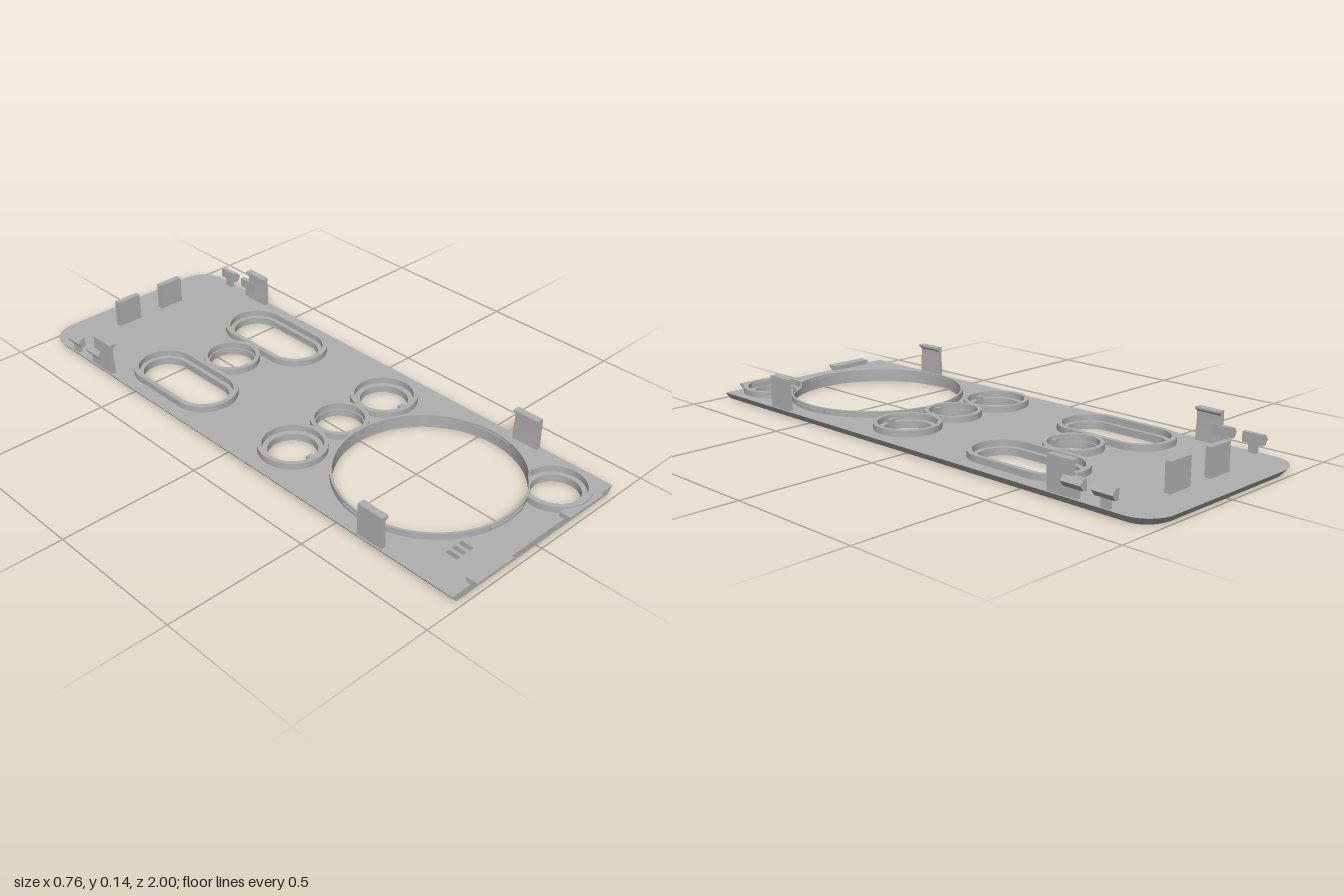
import * as THREE from 'three';
import { toCreasedNormals } from 'three/addons/utils/BufferGeometryUtils.js';

const grey = new THREE.MeshStandardMaterial({ color: 0xb0b0b0 });
grey.name = 'grey plastic';

const TOP = 0.025, RIM = 0.047, GROOVE = 0.004;
const BIG = { x: 0, z: 0.556, r: 0.307 };
const CORNER = { x: 0.2275, z: 0.873, r: 0.079 };
const TOWARD = Math.atan2(CORNER.z - BIG.z, CORNER.x - BIG.x);
const ROUND = [
  { x: -0.212, z: 0.153, r: 0.082, outer: 0.116 },
  { x: 0, z: 0.153, r: 0.08, outer: 0.099 },
  { x: 0.212, z: 0.153, r: 0.082, outer: 0.116 },
  { x: 0, z: -0.397, r: 0.08, outer: 0.1 },
];
const OVALS = [-0.212, 0.212].map((x) => ({ x, z: -0.397, half: 0.105 }));

// Plan shapes use (x, -z)
const circle = (c, r) => new THREE.Path().absarc(c.x, -c.z, r, 0, Math.PI * 2);
function oval(c, r, P = THREE.Path) {
  const p = new P();
  p.absarc(c.x, -c.z + c.half, r, 0, Math.PI);
  p.absarc(c.x, -c.z - c.half, r, Math.PI, Math.PI * 2);
  p.closePath();
  return p;
}
function rectHole(x, z, w, d) {
  return new THREE.Path([[-1, -1], [1, -1], [1, 1], [-1, 1]].map(
    ([i, j]) => new THREE.Vector2(x + i * w / 2, -z + j * d / 2)));
}

// Ring sector between two radii; angles run from +x toward +z
function sector(c, r0, r1, a0, a1) {
  const s = new THREE.Shape();
  s.absarc(c.x, -c.z, r1, -a0, -a1, true);
  s.absarc(c.x, -c.z, r0, -a1, -a0, false);
  s.closePath();
  return s;
}

// Extrude a plan shape upward from y0 to y1
function slab(shape, y0, y1) {
  const g = new THREE.ExtrudeGeometry(shape, { depth: y1 - y0, bevelEnabled: false, curveSegments: 40 });
  return g.rotateX(-Math.PI / 2).translate(0, y0, 0);
}

function add(parent, name, geometry) {
  const m = new THREE.Mesh(toCreasedNormals(geometry, 0.5), grey);
  m.name = name;
  parent.add(m);
  return m;
}

function box(parent, name, w, h, d, x, y, z) {
  return add(parent, name, new THREE.BoxGeometry(w, h, d).translate(x, y, z));
}

// Extrude an (x, y) profile along z, mirrored by side
function alongZ(parent, name, pts, side, z0, z1) {
  const s = new THREE.Shape(pts.map(([x, y]) => new THREE.Vector2(x * side, y)));
  add(parent, name, new THREE.ExtrudeGeometry(s, { depth: z1 - z0, bevelEnabled: false }).translate(0, 0, z0));
}

// Outline of a narrow band following a path
function band(path, half) {
  const left = [], right = [], n = 110;
  for (let i = 0; i <= n; i++) {
    const p = path.getPointAt(i / n), t = path.getTangentAt(i / n);
    left.push(new THREE.Vector2(p.x - t.y * half, p.y + t.x * half));
    right.unshift(new THREE.Vector2(p.x + t.y * half, p.y - t.x * half));
  }
  return new THREE.Path([...left, ...right]);
}

function grooves() {
  // Rounded frame around the oval openings
  const a = new THREE.Path(), w = 0.338, t = 0.635, b = 0.16, r = 0.12;
  a.moveTo(0.002, t);
  a.absarc(w - r, t - r, r, Math.PI / 2, 0, true);
  a.absarc(w - r, b + r, r, 0, -Math.PI / 2, true);
  a.absarc(-w + r, b + r, r, -Math.PI / 2, -Math.PI, true);
  a.absarc(-w + r, t - r, r, Math.PI, Math.PI / 2, true);
  a.lineTo(-0.002, t);
  // Outline of the round openings and the large opening
  const c = new THREE.Path(), R = 0.335, top = -0.025;
  c.absarc(0, -BIG.z, R, -TOWARD - 0.25, -Math.PI, true);
  c.absarc(-R + r, top - r, r, Math.PI, Math.PI / 2, true);
  c.absarc(R - r, top - r, r, Math.PI / 2, 0, true);
  c.absarc(0, -BIG.z, R, 0, -TOWARD + 0.25, true);
  return [band(a, 0.004), band(c, 0.004)];
}

function plateShape() {
  const s = new THREE.Shape(), w = 0.375, r = 0.1;
  s.moveTo(-w, -0.978);
  s.lineTo(w, -0.978);
  s.absarc(w - r, 1 - r, r, 0, Math.PI / 2);
  s.absarc(-w + r, 1 - r, r, Math.PI / 2, Math.PI);
  s.closePath();
  for (const c of [BIG, CORNER, ...ROUND]) s.holes.push(circle(c, c.r));
  for (const o of OVALS) s.holes.push(oval(o, 0.082));
  for (const x of [-0.235, -0.206, -0.177]) s.holes.push(rectHole(x, 0.857, 0.016, 0.045));
  return s;
}

// Lower edges lean inward at the sides and back
function chamfer(g) {
  const p = g.attributes.position;
  for (let i = 0; i < p.count; i++) {
    const x = p.getX(i), z = p.getZ(i), k = 1 - p.getY(i) / TOP;
    if (Math.abs(x) > 0.36 || z < -0.85) p.setX(i, x * (1 - 0.053 * k));
    if (z < -0.9) p.setZ(i, -0.9 + (z + 0.9) * (1 - 0.2 * k));
  }
  return g;
}

export function createModel() {
  const model = new THREE.Group();
  model.name = 'coverPlate';

  // Plate in two layers; the lower one carries the grooves
  add(model, 'plate', chamfer(slab(plateShape(), GROOVE, TOP)));
  const under = plateShape();
  under.holes.push(...grooves());
  add(model, 'groovedUnderside', chamfer(slab(under, 0, GROOVE)));

  // Raised rims around openings
  for (const c of ROUND) {
    const s = new THREE.Shape().absarc(c.x, -c.z, c.outer, 0, Math.PI * 2);
    s.holes.push(circle(c, c.outer - 0.015));
    add(model, 'roundRim', slab(s, TOP - 0.002, RIM));
    box(model, 'rimKey', 0.022, 0.018, 0.018, c.x, 0.03, c.z + c.r + 0.001);
  }
  for (const o of OVALS) {
    const s = oval(o, 0.115, THREE.Shape);
    s.holes.push(oval(o, 0.098));
    add(model, 'ovalRim', slab(s, TOP - 0.002, RIM));
  }
  add(model, 'largeRim', slab(sector(BIG, BIG.r, 0.315, TOWARD + 0.17, TOWARD + Math.PI * 2 - 0.17), TOP - 0.002, RIM));
  const back = TOWARD + Math.PI;
  add(model, 'cornerRim', slab(sector(CORNER, 0.097, 0.114, back + 0.68, back + Math.PI * 2 - 0.68), TOP - 0.002, RIM));

  // Retaining ribs on the large rim
  for (const a of [0, Math.PI / 2, Math.PI])
    add(model, 'retainingRib', slab(sector(BIG, 0.303, 0.319, a - 0.24, a + 0.24), 0.03, 0.04));

  // Hooked clips and snap catches on both sides
  const hook = [[0.351, 0.02], [0.369, 0.02], [0.369, 0.138], [0.343, 0.138], [0.343, 0.131], [0.356, 0.122], [0.356, 0.1]];
  const snap = [[0.353, 0.055], [0.369, 0.055], [0.382, 0.073], [0.369, 0.09], [0.353, 0.09]];
  for (const side of [-1, 1]) {
    alongZ(model, 'hookClip', hook, side, 0.6, 0.7);
    alongZ(model, 'hookClip', hook, side, -0.71, -0.615);
    for (const z of [-0.715, -0.83]) {
      alongZ(model, 'snapCatch', snap, side, z - 0.038, z + 0.038);
      box(model, 'snapStem', 0.014, 0.05, 0.03, side * 0.361, 0.045, z);
    }
    // Upright tabs near the back
    box(model, 'uprightTab', 0.096, 0.102, 0.022, side * 0.098, 0.072, -0.877);
    // Wedge lips on the front edge
    const lip = new THREE.Shape([[0.96, 0.02], [0.978, 0.02], [1, 0.036], [1, 0.042], [0.96, 0.042]]
      .map(([z, y]) => new THREE.Vector2(-z, y)));
    add(model, 'frontLip', new THREE.ExtrudeGeometry(lip, { depth: 0.164, bevelEnabled: false })
      .translate(0, 0, -0.082).rotateY(Math.PI / 2).translate(side * 0.213, 0, 0));
  }
  return model;
}
